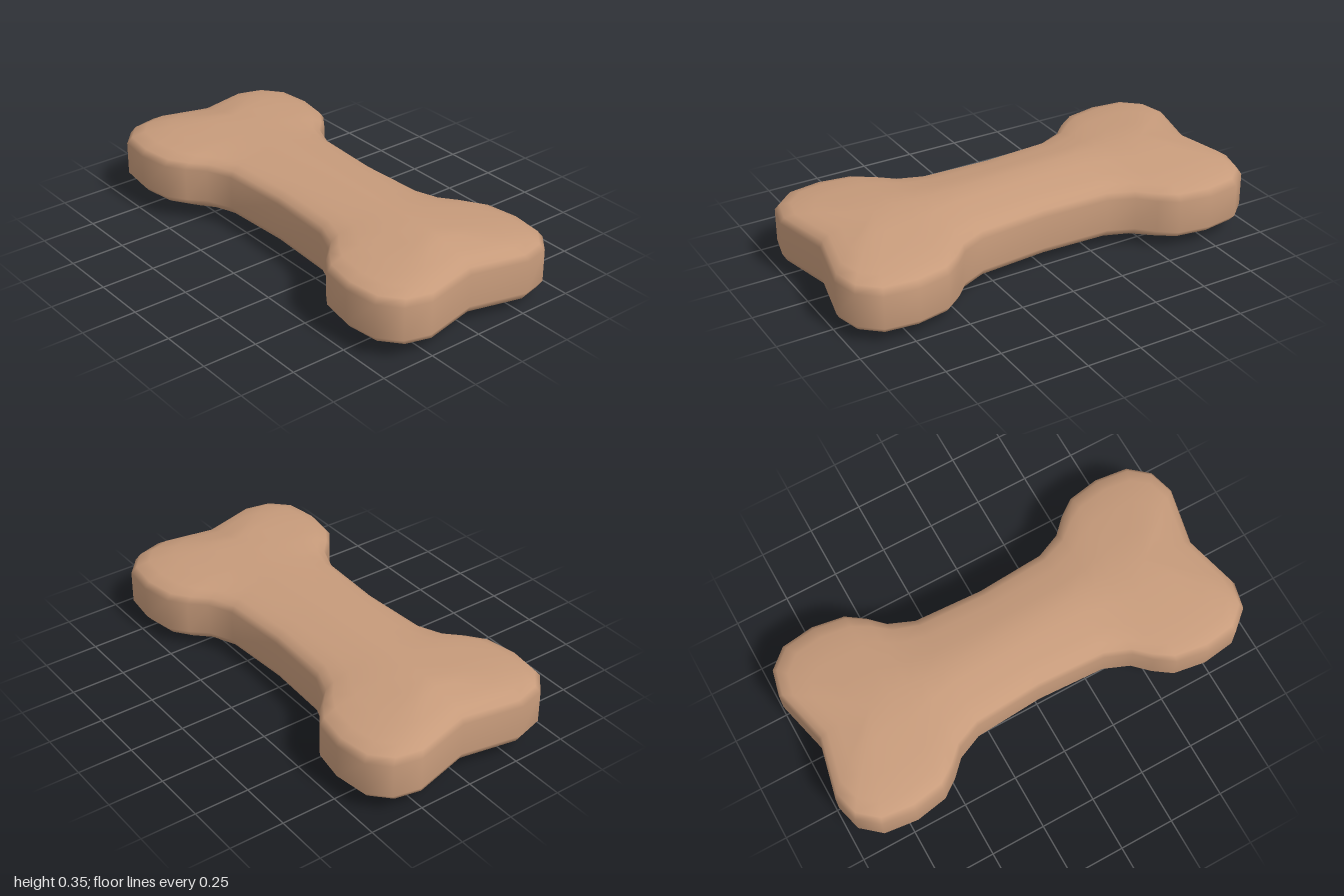
import * as THREE from 'three';
import { mergeVertices } from 'three/addons/utils/BufferGeometryUtils.js';

// One quarter of the plan outline [x, z], from the end notch to mid shaft
const QUARTER = [
  [0.933, 0], [0.995, 0.265], [0.965, 0.385], [0.877, 0.462], [0.725, 0.481],
  [0.578, 0.456], [0.498, 0.398], [0.43, 0.33], [0.315, 0.281], [0, 0.263],
];

// Thickness profile: [fraction from spine to rim, half height]
const PROFILE = [
  [0, 0.171], [0.3, 0.158], [0.6, 0.142], [0.83, 0.126], [0.95, 0.104], [1, 0.075],
];

const SPINE_END = 0.68;

function fullOutline() {
  const half = [...QUARTER, ...QUARTER.slice(0, -1).reverse().map(([x, z]) => [-x, z])];
  return [...half, ...half.slice(1, -1).reverse().map(([x, z]) => [x, -z])];
}

function boneGeometry() {
  const outline = fullOutline();
  // Rings run from the lower spine out to the rim and back to the upper spine
  const rings = [
    ...PROFILE.map(([k, h]) => [k, -h]),
    ...PROFILE.slice().reverse(),
  ];
  const positions = [];
  for (const [k, h] of rings) {
    for (const [px, pz] of outline) {
      const sx = THREE.MathUtils.clamp(px, -SPINE_END, SPINE_END);
      const x = THREE.MathUtils.lerp(sx, px, k);
      const z = pz * k;
      // slight lean and turn, so the bone does not lie perfectly square
      positions.push(x + 0.01 * z, 0.177 + h + 0.03 * z - 0.008 * x, z - 0.01 * x);
    }
  }
  const n = outline.length;
  const index = [];
  for (let j = 0; j < rings.length - 1; j++) {
    for (let i = 0; i < n; i++) {
      const a = j * n + i;
      const b = j * n + (i + 1) % n;
      index.push(a, a + n, b, b, a + n, b + n);
    }
  }
  let geometry = new THREE.BufferGeometry();
  geometry.setAttribute('position', new THREE.Float32BufferAttribute(positions, 3));
  geometry.setIndex(index);
  // Weld both halves along the spine and drop collapsed triangles
  geometry = mergeVertices(geometry, 1e-4);
  const welded = geometry.index.array;
  const kept = [];
  for (let t = 0; t < welded.length; t += 3) {
    const [a, b, c] = [welded[t], welded[t + 1], welded[t + 2]];
    if (a !== b && b !== c && c !== a) kept.push(a, b, c);
  }
  geometry.setIndex(kept);
  geometry.computeVertexNormals();
  return geometry;
}

export function createModel() {
  const group = new THREE.Group();
  group.name = 'boneBiscuit';
  const biscuit = new THREE.MeshStandardMaterial({ color: 0xc79b7b });
  biscuit.name = 'biscuit tan';

  const bone = new THREE.Mesh(boneGeometry(), biscuit);
  bone.name = 'bone';
  group.add(bone);
  return group;
}
